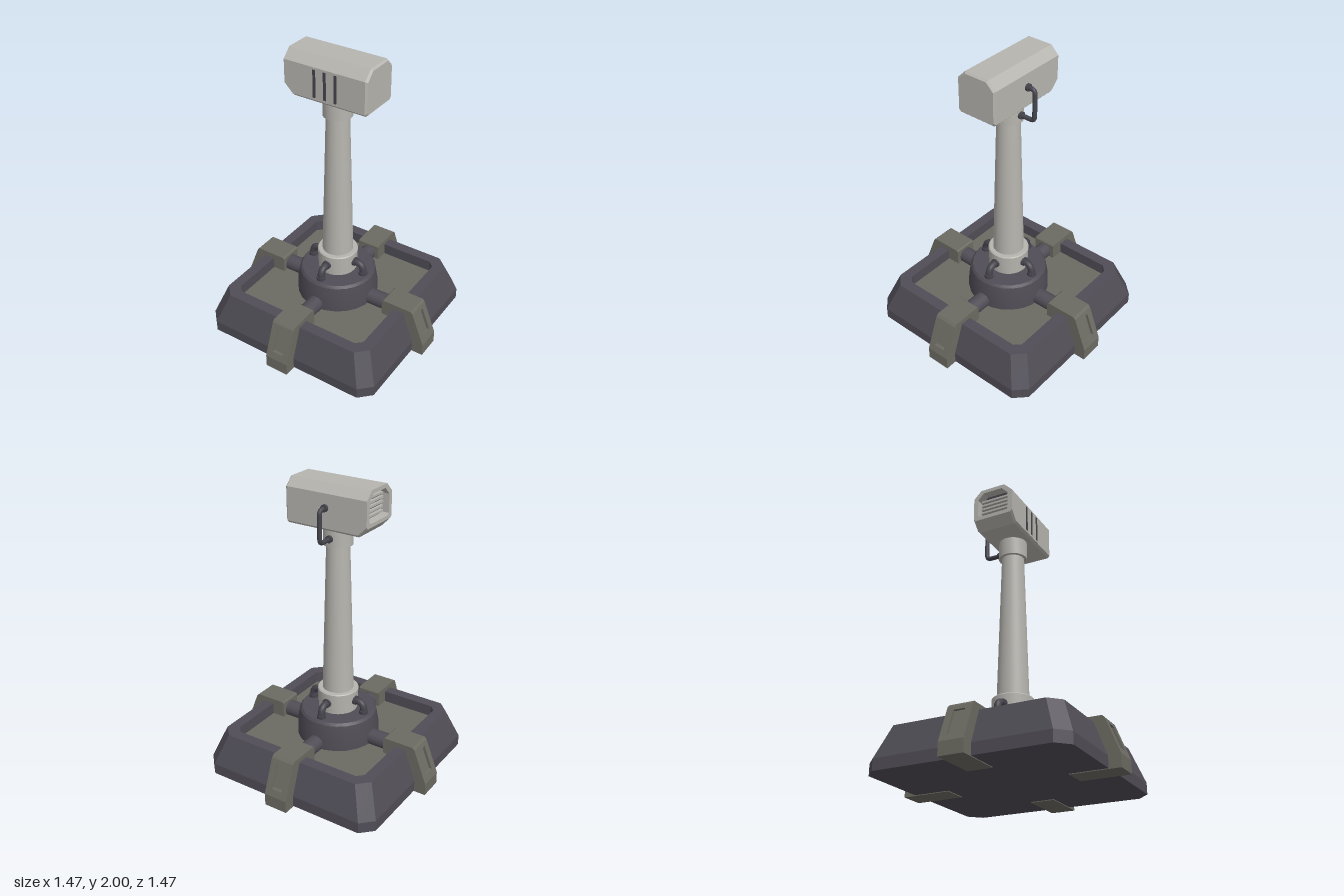
import * as THREE from 'three';
import { toCreasedNormals } from 'three/addons/utils/BufferGeometryUtils.js';

const V = (x, y, z) => new THREE.Vector3(x, y, z);

// Flat-faced skin through rings of equal length, with optional end caps
function loft(rings, capStart, capEnd) {
  const pos = [];
  const tri = (...pts) => pts.forEach((p) => pos.push(p.x, p.y, p.z));
  const n = rings[0].length;
  for (let k = 0; k + 1 < rings.length; k++) {
    const a = rings[k], b = rings[k + 1];
    for (let i = 0; i < n; i++) {
      const j = (i + 1) % n;
      tri(a[i], a[j], b[j]);
      tri(a[i], b[j], b[i]);
    }
  }
  const first = rings[0], last = rings[rings.length - 1];
  for (let i = 1; i < n - 1; i++) {
    if (capStart) tri(first[0], first[i + 1], first[i]);
    if (capEnd) tri(last[0], last[i], last[i + 1]);
  }
  const g = new THREE.BufferGeometry();
  g.setAttribute('position', new THREE.Float32BufferAttribute(pos, 3));
  g.computeVertexNormals();
  return g;
}

// Square ring with cut corners, counter-clockwise from above
function squareRing(h, c, y) {
  const k = h - c;
  return [[h, k], [h, -k], [k, -h], [-k, -h], [-h, -k], [-h, k], [-k, h], [k, h]]
    .map(([x, z]) => V(x, y, z));
}

// Round turned part from a radius/height profile
function lathe(profile, segments) {
  const pts = profile.map(([r, y]) => new THREE.Vector2(r, y));
  return toCreasedNormals(new THREE.LatheGeometry(pts, segments), 0.5);
}

// Pipe along straight runs with rounded bends
function pipe(points, bend, radius) {
  const path = new THREE.CurvePath();
  let from = points[0];
  for (let i = 1; i < points.length - 1; i++) {
    const p = points[i];
    const a = p.clone().add(points[i - 1].clone().sub(p).setLength(bend));
    const b = p.clone().add(points[i + 1].clone().sub(p).setLength(bend));
    path.add(new THREE.LineCurve3(from, a));
    path.add(new THREE.QuadraticBezierCurve3(a, p, b));
    from = b;
  }
  path.add(new THREE.LineCurve3(from, points[points.length - 1]));
  return new THREE.TubeGeometry(path, 36, radius, 12);
}

const polygon = (pts) => new THREE.Shape(pts.map(([x, y]) => new THREE.Vector2(x, y)));

export function createModel() {
  const material = (name, color) => {
    const m = new THREE.MeshStandardMaterial({ color });
    m.name = name;
    return m;
  };
  const light = material('pale grey', 0xb7b5af);
  const olive = material('olive grey', 0x6c6b62);
  const dark = material('dark violet grey', 0x504d56);
  const pipeDark = material('pipe grey', 0x46454d);

  const model = new THREE.Group();
  model.name = 'sensorPost';
  const add = (parent, name, geometry, mat, x = 0, y = 0, z = 0) => {
    const m = new THREE.Mesh(geometry, mat);
    m.name = name;
    m.position.set(x, y, z);
    parent.add(m);
    return m;
  };

  // Base tray with raised rim and olive floor
  const floor = squareRing(0.5, 0.04, 0.215);
  add(model, 'baseTray', loft([
    squareRing(0.655, 0.08, 0.005), squareRing(0.655, 0.08, 0.08),
    squareRing(0.575, 0.075, 0.295), squareRing(0.5, 0.04, 0.295), floor,
  ], true, false), dark);
  add(model, 'trayFloor', loft([floor], false, true), olive);

  // Hub, collar, tapered column and neck
  add(model, 'hub', lathe([[0.28, 0.21], [0.278, 0.3], [0.262, 0.395], [0.248, 0.412], [0, 0.412]], 24), dark);
  add(model, 'collar', lathe([[0.132, 0.41], [0.138, 0.555], [0.132, 0.562], [0, 0.562]], 32), light);
  add(model, 'column', lathe([[0.105, 0.56], [0.076, 1.59]], 32), light);
  add(model, 'neck', lathe([[0, 1.585], [0.096, 1.585], [0.096, 1.72]], 32), light);

  // Clamp body, and its sloping front frame with a recessed window
  const width = 0.165;
  const clampBody = new THREE.ExtrudeGeometry(polygon([
    [0.41, 0], [0.735, 0], [0.735, 0.085], [0.7135, 0.085], [0.6235, 0.315],
    [0.645, 0.315], [0.63, 0.33], [0.42, 0.33], [0.41, 0.32],
  ]), { depth: width, bevelEnabled: false }).translate(0, 0, -width / 2);
  const frameShape = polygon([[-width / 2, 0.085], [width / 2, 0.085], [width / 2, 0.315], [-width / 2, 0.315]]);
  frameShape.holes.push(polygon([[-0.04, 0.13], [-0.04, 0.287], [0.04, 0.287], [0.04, 0.13]]));
  const clampFrame = new THREE.ExtrudeGeometry(frameShape, { depth: 0.0215, bevelEnabled: false }).rotateY(Math.PI / 2);
  const fp = clampFrame.attributes.position;
  for (let i = 0; i < fp.count; i++) {
    fp.setX(i, fp.getX(i) + 0.7135 - (fp.getY(i) - 0.085) * (0.09 / 0.23));
  }
  clampFrame.computeVertexNormals();

  // Four sides: clamp, feed pipe and elbow pipe
  const feed = new THREE.CylinderGeometry(0.056, 0.056, 0.2, 24).rotateZ(Math.PI / 2);
  const elbow = pipe([V(0.12, 0.49, 0), V(0.205, 0.49, 0), V(0.205, 0.41, 0)], 0.055, 0.024);
  const flange = new THREE.CylinderGeometry(0.031, 0.031, 0.024, 16);
  const sideFlange = flange.clone().rotateZ(Math.PI / 2);
  for (let i = 0; i < 4; i++) {
    const side = new THREE.Group();
    side.name = 'side' + (i + 1);
    side.rotation.y = i * Math.PI / 2;
    add(side, 'clampBody', clampBody, olive);
    add(side, 'clampFrame', clampFrame, olive);
    add(side, 'feedPipe', feed, dark, 0.33, 0.25);
    add(side, 'elbowPipe', elbow, pipeDark);
    add(side, 'elbowFoot', flange, pipeDark, 0.205, 0.422);
    add(side, 'elbowSocket', sideFlange, pipeDark, 0.136, 0.49);
    model.add(side);
  }

  // Head shell: cross-sections from left end to the open, undercut right end
  const head = new THREE.Group();
  head.name = 'head';
  model.add(head);
  const section = [[-0.13, 1.71], [0.13, 1.71], [0.145, 1.725], [0.145, 1.94],
    [0.085, 2], [-0.09, 2], [-0.145, 1.945], [-0.145, 1.725]];
  const headRing = (x, scale = 1, lift = 0, mid = 1.855) => section.map(([z, y]) => {
    const raised = y < 1.8 ? y + lift : y;
    return V(x, mid + (raised - mid) * scale, z * scale);
  });
  const back = headRing(-0.235, 0.78, 0.06, 1.885);
  add(head, 'headShell', loft([
    headRing(0.295, 0.92), headRing(0.282), headRing(-0.235), headRing(-0.295, 1, 0.06),
    headRing(-0.295, 0.78, 0.06, 1.885), back,
  ], true, false), light);

  // Grille in the right end
  add(head, 'grilleBack', loft([back], false, true), pipeDark);
  const slat = new THREE.BoxGeometry(0.02, 0.014, 0.215);
  for (let i = 0; i < 5; i++) add(head, 'grilleSlat', slat, light, -0.247, 1.818 + i * 0.029, 0);

  // Three slots on the front face
  const slot = new THREE.BoxGeometry(0.02, 0.185, 0.006);
  const slotEnd = new THREE.BoxGeometry(0.026, 0.012, 0.008);
  for (const x of [-0.075, 0, 0.075]) {
    add(head, 'slot', slot, pipeDark, x, 1.833, 0.144);
    for (const y of [1.734, 1.932]) add(head, 'slotEnd', slotEnd, light, x, y, 0.143);
  }

  // Cable pipe from head to neck at the back
  add(head, 'cablePipe', pipe([V(0, 1.855, -0.13), V(0, 1.855, -0.204), V(0, 1.643, -0.204), V(0, 1.643, -0.08)], 0.03, 0.015), pipeDark);
  const cableEnd = new THREE.CylinderGeometry(0.024, 0.024, 0.024, 16).rotateX(Math.PI / 2);
  add(head, 'cableEndTop', cableEnd, pipeDark, 0, 1.855, -0.15);
  add(head, 'cableEndBottom', cableEnd, pipeDark, 0, 1.643, -0.1);

  return model;
}
